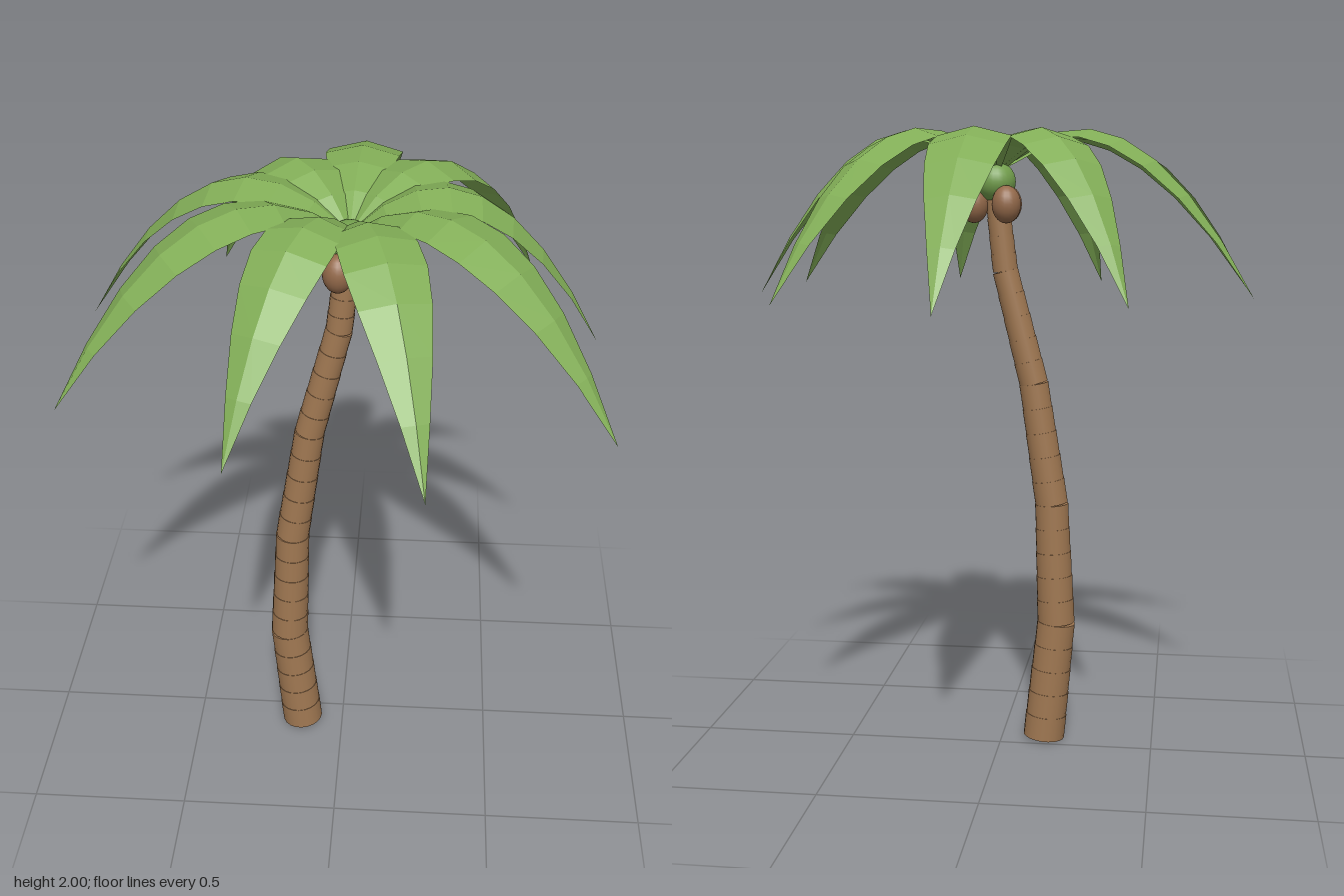
import * as THREE from 'three';

const mat = (name, color, extra = {}) => {
  const m = new THREE.MeshStandardMaterial({ color, ...extra });
  m.name = name;
  return m;
};

export function createModel() {
  const bark = mat('bark brown', 0xa07852);
  const husk = mat('coconut brown', 0x93694a);
  const bud = mat('crown green', 0x739f4d);
  const frond = mat('frond green', 0x82ae57, { side: THREE.DoubleSide, flatShading: true });

  const palm = new THREE.Group();
  palm.name = 'palmTree';
  const add = (parent, name, geometry, material) => {
    const mesh = new THREE.Mesh(geometry, material);
    mesh.name = name;
    parent.add(mesh);
    return mesh;
  };

  // Trunk: straight tapered segments, each leaning its own way and made of flared rings
  const trunk = new THREE.Group();
  trunk.name = 'trunk';
  palm.add(trunk);
  const joints = [
    [-0.14, 0.008, 0.068, 0.068], [-0.179, 0.405, 0.067, 0.061], [-0.162, 0.805, 0.065, 0.053],
    [-0.102, 1.2, 0.063, 0.046], [-0.01, 1.56, 0.06, 0.04], [0.022, 1.84, 0.055, 0.035],
  ];
  const up = new THREE.Vector3(0, 1, 0);
  const rings = 5;
  for (let i = 0; i < joints.length - 1; i++) {
    const [x0, y0, z0, r0] = joints[i];
    const [x1, y1, z1, r1] = joints[i + 1];
    const a = new THREE.Vector3(x0, y0, z0);
    const axis = new THREE.Vector3(x1, y1, z1).sub(a);
    const h = axis.length() / rings;
    const segment = new THREE.Group();
    segment.name = 'trunkSegment';
    segment.position.copy(a);
    segment.quaternion.setFromUnitVectors(up, axis.normalize());
    for (let k = 0; k < rings; k++) {
      const low = THREE.MathUtils.lerp(r0, r1, k / rings);
      const high = THREE.MathUtils.lerp(r0, r1, (k + 1) / rings) + 0.0015;
      add(segment, 'trunkRing', new THREE.CylinderGeometry(high, low, h, 20), bark)
        .position.y = h * (k + 0.5);
    }
    trunk.add(segment);
  }

  // Crown bud and the coconuts hanging around it
  const cx = 0.02, cz = 0.05;
  add(palm, 'crownBud', new THREE.SphereGeometry(0.064, 24, 16), bud).position.set(cx, 1.84, cz);
  for (const [x, z] of [[-0.01, 0.115], [0.088, 0.045], [-0.02, 0.0]]) {
    const nut = add(palm, 'coconut', new THREE.SphereGeometry(0.046, 20, 14), husk);
    nut.scale.y = 1.28;
    nut.position.set(x, 1.77, z);
  }

  // Fronds: nine arched blades in three lengths, folded along the midrib
  const lengths = [0.9, 0.83, 0.75];
  for (let i = 0; i < 9; i++) {
    const blade = add(palm, 'frond', frondGeometry(lengths[i % 3]), frond);
    blade.position.set(cx, 1.87, cz);
    blade.rotation.y = THREE.MathUtils.degToRad(180 - 3.2 - 40 * i);
  }
  return palm;
}

// A blade along +z: it rises, arches over and droops to a pointed tip
function frondGeometry(length) {
  const steps = 8, positions = [], index = [];
  for (let j = 0; j <= steps; j++) {
    const s = j / steps;
    const y = 0.775 * s - 1.155 * s * s;
    const slope = (0.775 - 2.31 * s) / length;
    const w = j === steps ? 0 : 0.012 * (1 - s) + 0.108 * Math.sin(Math.PI * Math.pow(s, 0.9));
    // Side edges hang below the midrib, measured square to the blade
    const n = Math.hypot(1, slope), drop = 0.25 * w;
    const ey = y - drop / n, ez = s * length + drop * slope / n;
    positions.push(w, ey, ez, 0, y, s * length, -w, ey, ez);
    if (j < steps) {
      const a = j * 3;
      for (const k of [a, a + 1]) index.push(k, k + 1, k + 3, k + 1, k + 4, k + 3);
    }
  }
  // Reverse the winding so the upper face is the front
  for (let t = 0; t < index.length; t += 3) [index[t + 1], index[t + 2]] = [index[t + 2], index[t + 1]];
  const g = new THREE.BufferGeometry();
  g.setAttribute('position', new THREE.Float32BufferAttribute(positions, 3));
  g.setIndex(index);
  g.computeVertexNormals();
  return g;
}
